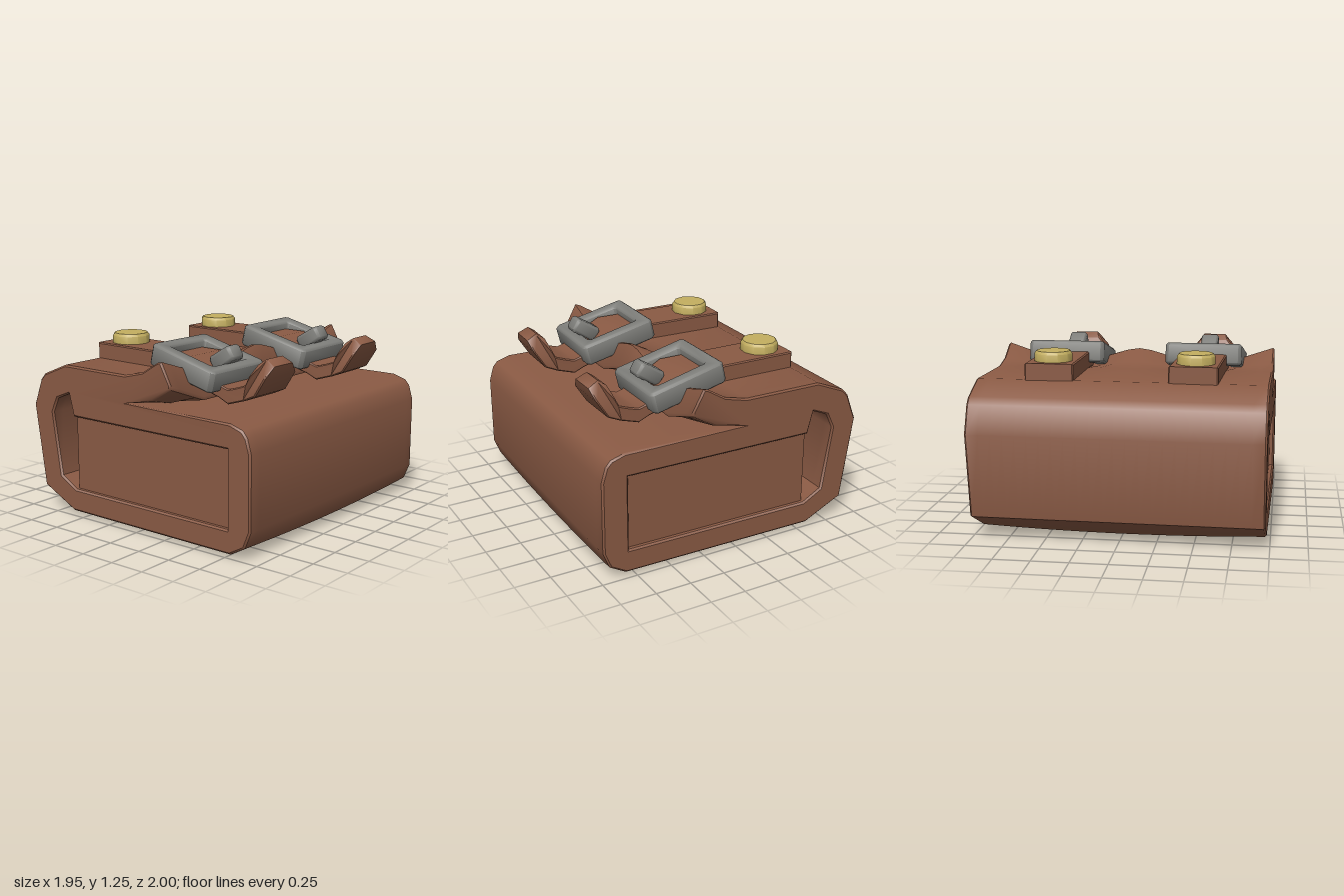
import * as THREE from 'three';
import { toCreasedNormals } from 'three/addons/utils/BufferGeometryUtils.js';

const leather = new THREE.MeshStandardMaterial({ color: 0x8a5a44 });
const metal = new THREE.MeshStandardMaterial({ color: 0x7f7f7b });
const brass = new THREE.MeshStandardMaterial({ color: 0xc4af60 });

const points = (list) => list.map(([x, y]) => new THREE.Vector2(x, y));

// Extrudes an outline along z, centred, with a small bevel and an optional rule that moves vertices
function extrude(outline, hole, width, bevel, steps = 1, rule = null, crease = 0.75) {
  const shape = new THREE.Shape(points(outline));
  if (hole) shape.holes.push(new THREE.Path(points(hole)));
  const depth = width - 2 * bevel;
  const geo = new THREE.ExtrudeGeometry(shape, {
    depth, steps, bevelEnabled: true, bevelSize: bevel, bevelThickness: bevel,
    bevelOffset: -bevel, bevelSegments: 1,
  });
  geo.translate(0, 0, -depth / 2);
  if (rule) {
    const p = geo.attributes.position;
    const v = new THREE.Vector3();
    for (let i = 0; i < p.count; i++) {
      rule(v.fromBufferAttribute(p, i));
      p.setXYZ(i, v.x, v.y, v.z);
    }
  }
  return toCreasedNormals(geo, crease);
}

function add(parent, name, geometry, material) {
  const mesh = new THREE.Mesh(geometry, material);
  mesh.name = name;
  parent.add(mesh);
  return mesh;
}

// Rectangle of half sizes a and b with corners cut by c
const cutRectangle = (a, b, c) => [
  [-a + c, -b], [a - c, -b], [a, -b + c], [a, b - c],
  [a - c, b], [-a + c, b], [-a, b - c], [-a, -b + c],
];

// One closing: strap with curled tail, stud, buckle frame and prong
function createClosing() {
  const g = new THREE.Group();
  g.name = 'closing';

  const strap = extrude([
    [-0.655, 1.05], [0, 1.05], [0.18, 1.03], [0.34, 0.96], [0.45, 0.93], [0.53, 0.895],
    [0.66, 0.935], [0.75, 0.975], [0.83, 1.1], [0.853, 1.172], [0.78, 1.21],
    [0.725, 1.17], [0.7, 1.1], [0.67, 1.04], [0.6, 1.015], [0.53, 0.995], [0.45, 1.02], [0.36, 1.08],
    [0.2, 1.17], [0, 1.17], [-0.655, 1.17],
  ], null, 0.33, 0.008, 1, (v) => {
    if (v.x > 0.71 && v.y > 1.13) v.z *= 1 - Math.min((v.y - 1.1) * 5.5, 0.48); // narrowed tip
  });
  add(g, 'strap', strap, leather);

  const studProfile = points([[0, 0], [0.13, 0], [0.13, 0.055], [0.117, 0.073], [0, 0.075]]);
  const stud = add(g, 'stud', toCreasedNormals(new THREE.LatheGeometry(studProfile, 11), 0.75), brass);
  stud.position.set(-0.492, 1.167, 0);

  const buckle = new THREE.Group();
  buckle.name = 'buckle';
  buckle.position.set(0.213, 1.108, 0);
  buckle.rotation.z = -0.24;
  const frame = extrude(cutRectangle(0.278, 0.27, 0.025), cutRectangle(0.187, 0.174, 0.015), 0.15, 0.014, 1, null, 0.9);
  add(buckle, 'buckleFrame', frame.rotateX(-Math.PI / 2), metal);
  g.add(buckle);

  const prong = add(g, 'buckleProng', extrude(cutRectangle(0.1, 0.052, 0.018), null, 0.125, 0.015, 1, null, 0.9), metal);
  prong.position.set(0.383, 1.162, 0);
  prong.rotation.z = 0.55;
  return g;
}

export function createModel() {
  const root = new THREE.Group();
  root.name = 'satchel';
  const bag = new THREE.Group();
  bag.name = 'bag';
  bag.rotation.y = -0.015; // sits very slightly askew
  root.add(bag);

  // Outer wrap: a thick ring with open ends, a slightly sagging floor,
  // and a flap lip that is pulled down under each strap
  const wrap = extrude([
    [-0.6, 0], [0.8, 0], [0.915, 0.065], [0.96, 0.2], [0.96, 0.7], [0.93, 0.8], [0.895, 0.84],
    [0.8, 0.87], [-0.08, 0.87], [0.16, 0.92], [0.315, 1.015], [0.32, 1.04], [0.24, 1.187],
    [0.21, 1.18], [0.08, 1.1], [-0.08, 1.06], [-0.64, 1.06], [-0.85, 0.973], [-0.893, 0.926],
    [-0.965, 0.74], [-0.88, 0.16],
  ], [
    [-0.57, 0.185], [0.777, 0.185], [0.777, 0.705], [-0.575, 0.705], [-0.615, 0.86],
    [-0.725, 0.815], [-0.775, 0.71], [-0.705, 0.262],
  ], 1.97, 0.012, 24, (v) => {
    if (v.y < 0.1) v.y += 0.025 * v.z * v.z;
    if (v.y > 0.875 && v.x > -0.08) {
      const d = Math.abs(Math.sqrt(v.z * v.z + 0.006) - 0.495);
      const pull = 1 - THREE.MathUtils.clamp((d - 0.16) / 0.33, 0, 1);
      v.y = Math.max(v.y - 0.125 * pull * Math.min((v.x + 0.08) / 0.36, 1), 0.876);
    }
  });
  add(bag, 'wrapWithFlap', wrap, leather);

  // Inner compartment, set back a little from both ends
  const inner = add(bag, 'innerCompartment', new THREE.BoxGeometry(1.37, 0.57, 1.9), leather);
  inner.position.set(0.113, 0.445, 0);

  // Back and front closings, each turned by a hair
  for (const [z, turn] of [[-0.49, 0.01], [0.494, -0.018]]) {
    const closing = createClosing();
    closing.position.set(0.005, 0, z);
    closing.rotation.y = turn;
    bag.add(closing);
  }
  return root;
}
